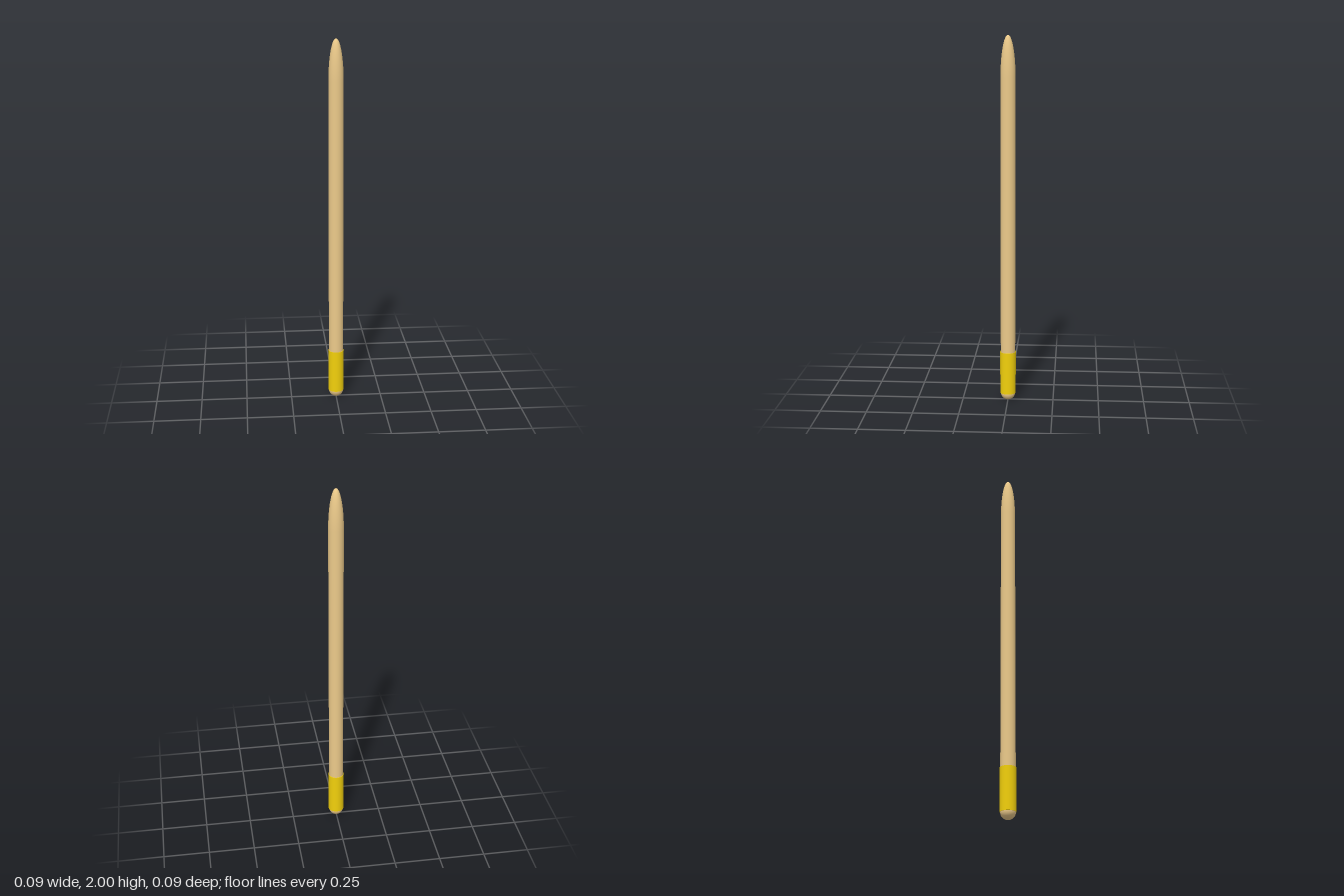
import * as THREE from 'three';

const SEGMENTS = 32;

export function createModel() {
  const group = new THREE.Group();
  const wood = new THREE.MeshStandardMaterial({ color: 0xecca8a });
  const yellow = new THREE.MeshStandardMaterial({ color: 0xf2d00c });

  const add = (name, geometry, material, y) => {
    const mesh = new THREE.Mesh(geometry, material);
    mesh.name = name;
    mesh.position.y = y;
    group.add(mesh);
    return mesh;
  };

  // Half of a sphere, stretched along y; top or bottom half
  const dome = (radius, height, top) =>
    new THREE.SphereGeometry(radius, SEGMENTS, 16, 0, Math.PI * 2, top ? 0 : Math.PI / 2, Math.PI / 2)
      .scale(1, height / radius, 1);

  // Long round body with a tapered tip and a rounded butt
  add('shaft', new THREE.CylinderGeometry(0.04, 0.04, 1.74, SEGMENTS, 1, true), wood, 0.91);
  add('tip', dome(0.04, 0.22, true), wood, 1.78);
  add('roundedEnd', dome(0.04, 0.04, false), wood, 0.04);

  // Slightly wider sleeve around the lower end
  add('band', new THREE.CylinderGeometry(0.043, 0.043, 0.235, SEGMENTS), yellow, 0.1575);

  return group;
}
